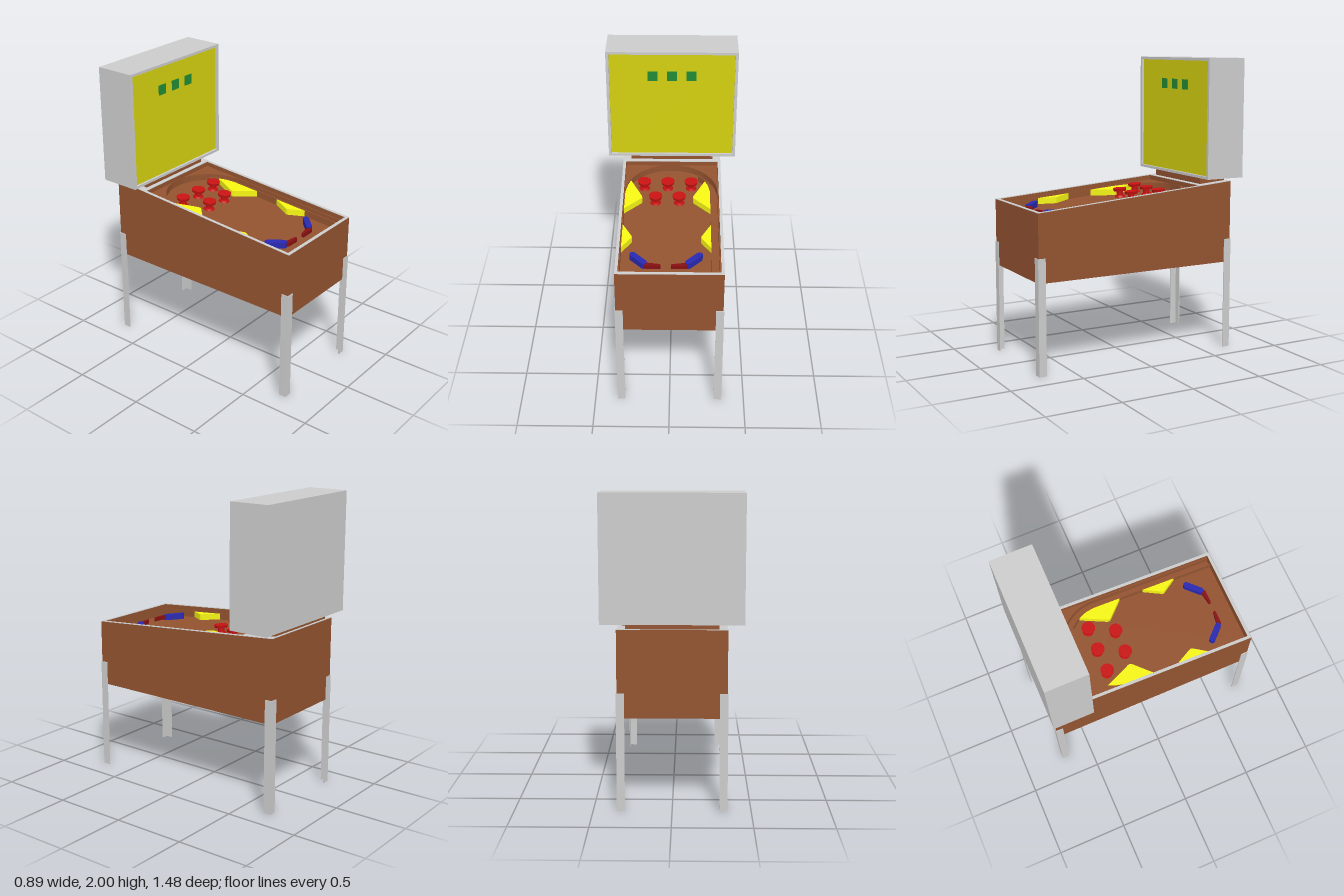
import * as THREE from 'three';

const SLOPE = 0.0767;   // rise of the table per unit towards the back
const RIM = 1.113;      // rim height at z = 0
const FIELD = 1.033;    // playfield height at z = 0

const mat = (color) => new THREE.MeshStandardMaterial({ color, roughness: 0.8 });

export function createModel() {
  const model = new THREE.Group();
  const grey = mat(0xcccccc), brown = mat(0x935330), yellow = mat(0xf6f614), panelYellow = mat(0xd4d010);
  const red = mat(0xc81212), darkRed = mat(0x860f12), blue = mat(0x2828b0), green = mat(0x218a35);

  const add = (name, geometry, material, parent = model) => {
    const mesh = new THREE.Mesh(geometry, material);
    mesh.name = name;
    parent.add(mesh);
    return mesh;
  };
  const box = (name, x0, x1, y0, y1, z0, z1, material, parent) => {
    const g = new THREE.BoxGeometry(x1 - x0, y1 - y0, z1 - z0);
    g.translate((x0 + x1) / 2, (y0 + y1) / 2, (z0 + z1) / 2);
    return add(name, g, material, parent);
  };
  const shapeOf = (points) => new THREE.Shape(points.map(([x, z]) => new THREE.Vector2(x, -z)));
  // Extrudes a plan outline upwards and shears it to follow the table slope
  const slab = (name, shape, base, height, material, parent) => {
    const g = new THREE.ExtrudeGeometry(shape, { depth: height, bevelEnabled: false, curveSegments: 16 });
    g.applyMatrix4(new THREE.Matrix4().set(1, 0, 0, 0, 0, SLOPE, 1, base, 0, -1, 0, 0, 0, 0, 0, 1));
    return add(name, g, material, parent);
  };
  const rect = (x0, x1, z0, z1) => shapeOf([[x0, z1], [x1, z1], [x1, z0], [x0, z0]]);
  // Points on an arc around the arch centre, angles in degrees
  const arcPoints = (r, from, to, n = 32) => Array.from({ length: n + 1 }, (_, i) => {
    const a = THREE.MathUtils.degToRad(from + (to - from) * i / n);
    return [r * Math.cos(a), -0.155 - r * Math.sin(a)];
  });

  // Cabinet: closed walls with a sloping top, floor and a deck at the back
  const cabinet = new THREE.Group();
  cabinet.name = 'cabinet';
  model.add(cabinet);
  const X = 0.345, F = 0.733, B = -0.713, IX = 0.325, IF = 0.712, IB = -0.47, BOTTOM = 0.605;
  const profileBlock = (name, x0, x1, z0, z1, top) => {
    const s = new THREE.Shape([[-z1, BOTTOM], [-z0, BOTTOM], [-z0, top - SLOPE * z0], [-z1, top - SLOPE * z1]]
      .map(([u, v]) => new THREE.Vector2(u, v)));
    const g = new THREE.ExtrudeGeometry(s, { depth: x1 - x0, bevelEnabled: false });
    g.rotateY(Math.PI / 2).translate(x0, 0, 0);
    add(name, g, brown, cabinet);
  };
  const top = RIM - 0.003;
  profileBlock('rightWall', -X, -IX, B, F, top);
  profileBlock('leftWall', IX, X, B, F, top);
  profileBlock('frontWall', -IX, IX, IF, F, top);
  profileBlock('backBlock', -IX, IX, B, IB, top);
  profileBlock('playfield', -IX, IX, IB, IF, FIELD);

  // Grey rim and rear deck
  const rim = rect(-X, X, B, F);
  rim.holes.push(rect(-IX, IX, IB, IF));
  slab('rim', rim, top, 0.003, grey);

  // Arched border and ball lane guide
  const R = 0.318;
  slab('archBorder', shapeOf([[IX, IF], [IX, IB], [-IX, IB], [-IX, IF], [-R, IF],
    ...arcPoints(R, 180, 0), [R, IF]]), FIELD, 0.046, brown);
  slab('laneGuide', shapeOf([[0.267, IF], [0.275, IF], ...arcPoints(0.275, 0, 46, 14),
    ...arcPoints(0.267, 46, 0, 14)]), FIELD, 0.046, brown);

  // Yellow side deflectors
  const deflectors = {
    upperRightDeflector: [[-R, 0.024], [-0.203, -0.09], [-0.198, -0.102], [-0.202, -0.118], [-0.283, -0.294],
      [-0.303, -0.24], [-R, -0.16]],
    upperLeftDeflector: [[0.267, 0.024], [0.267, -0.17], [0.255, -0.24], [0.232, -0.288], [0.153, -0.118],
      [0.149, -0.104], [0.154, -0.092]],
    lowerRightDeflector: [[-R, 0.43], [-0.255, 0.335], [-0.252, 0.325], [-0.255, 0.313], [-R, 0.195]],
    lowerLeftDeflector: [[0.267, 0.43], [0.267, 0.195], [0.205, 0.313], [0.202, 0.325], [0.205, 0.335]],
  };
  for (const [name, points] of Object.entries(deflectors)) slab(name, shapeOf(points), FIELD, 0.042, yellow);

  // Round-ended bar between two points with its own radius at each end
  const bar = (name, [ax, az], ra, [bx, bz], rb, base, height, material) => {
    const a = new THREE.Vector2(ax, -az), b = new THREE.Vector2(bx, -bz);
    const t = Math.atan2(b.y - a.y, b.x - a.x), q = Math.PI / 2;
    const s = new THREE.Shape();
    s.absarc(a.x, a.y, ra, t + q, t + 3 * q, false);
    s.absarc(b.x, b.y, rb, t - q, t + q, false);
    slab(name, s, base, height, material);
  };
  // Flippers and their guides, mirrored about the playfield middle
  const MID = -0.025;
  for (const [side, s] of [['left', 1], ['right', -1]]) {
    bar(side + 'Guide', [MID + s * 0.216, 0.492], 0.02, [MID + s * 0.142, 0.568], 0.02, FIELD, 0.04, blue);
    bar(side + 'Flipper', [MID + s * 0.124, 0.583], 0.015, [MID + s * 0.042, 0.59], 0.009, FIELD + 0.008, 0.026, darkRed);
  }

  // Mushroom bumpers
  for (const [x, z] of [[-0.188, -0.265], [-0.025, -0.265], [0.137, -0.265], [-0.107, -0.1], [0.055, -0.1]]) {
    const bumper = new THREE.Group();
    bumper.name = 'bumper';
    bumper.position.set(x, FIELD - SLOPE * z, z);
    bumper.rotation.x = Math.atan(SLOPE);
    model.add(bumper);
    for (const [name, rt, rb, y0, y1] of [['base', 0.03, 0.038, -0.002, 0.014], ['stem', 0.022, 0.022, 0.014, 0.044],
      ['cap', 0.046, 0.042, 0.044, 0.062]]) {
      add(name, new THREE.CylinderGeometry(rt, rb, y1 - y0, 32).translate(0, (y0 + y1) / 2, 0), red, bumper);
    }
  }

  // Angle-iron legs wrapping the four corners
  for (const [name, sx, sz, z] of [['frontLeftLeg', 1, 1, 0.738], ['frontRightLeg', -1, 1, 0.738],
    ['backLeftLeg', 1, -1, -0.718], ['backRightLeg', -1, -1, -0.718]]) {
    const leg = new THREE.Group();
    leg.name = name;
    leg.position.set(sx * 0.35, 0, z);
    model.add(leg);
    const W = 0.052, T = 0.006;
    const plate = (n, w, d) => box(n, Math.min(0, -sx * w), Math.max(0, -sx * w), 0, 0.765,
      Math.min(0, -sz * d), Math.max(0, -sz * d), grey, leg);
    plate('facePlate', W, T);
    plate('sidePlate', T, W);
  }

  // Neck and backbox with a framed, recessed panel
  box('neck', -0.29, 0.29, 1.14, 1.2, -0.695, -0.5, brown);
  const BX = 0.446, ZB = -0.738, ZF = -0.459;
  box('backboxBody', -BX, BX, 1.2, 2, ZB, ZF - 0.02, grey);
  const frame = new THREE.Shape([[-BX, 1.2], [BX, 1.2], [BX, 2], [-BX, 2]].map((p) => new THREE.Vector2(...p)));
  frame.holes.push(new THREE.Path([[-0.426, 1.218], [-0.426, 1.982], [0.426, 1.982], [0.426, 1.218]]
    .map((p) => new THREE.Vector2(...p))));
  add('backboxFrame', new THREE.ExtrudeGeometry(frame, { depth: 0.02, bevelEnabled: false })
    .translate(0, 0, ZF - 0.02), grey);
  box('displayPanel', -0.426, 0.426, 1.218, 1.982, ZF - 0.025, ZF - 0.016, panelYellow);
  for (const x of [-0.132, 0, 0.132]) {
    box('scoreWindow', x - 0.034, x + 0.034, 1.785, 1.853, ZF - 0.018, ZF - 0.011, green);
  }
  return model;
}
